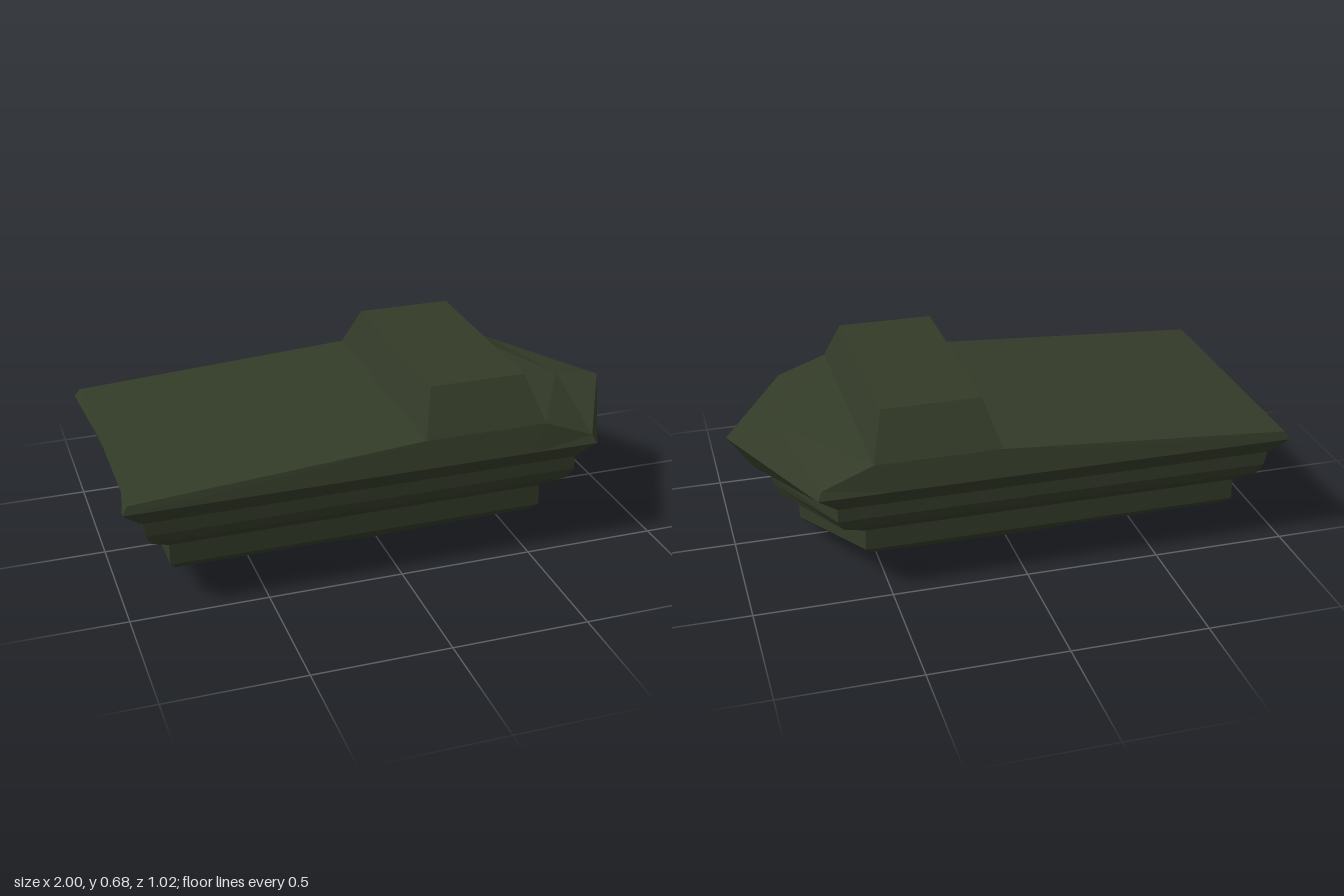
import * as THREE from 'three';

const P = (x, y, z = 0) => [x, y, z];

// Flat-shaded mesh from half-model faces (z >= 0), mirrored to the other side
function halfMesh(name, faces, material) {
  const pos = [];
  const mirror = ([x, y, z]) => [x, y, -z];
  for (const f of faces) {
    for (let i = 1; i < f.length - 1; i++) {
      pos.push(...f[0], ...f[i], ...f[i + 1]);
      pos.push(...mirror(f[0]), ...mirror(f[i + 1]), ...mirror(f[i]));
    }
  }
  const g = new THREE.BufferGeometry();
  g.setAttribute('position', new THREE.Float32BufferAttribute(pos, 3));
  g.computeVertexNormals();
  const m = new THREE.Mesh(g, material);
  m.name = name;
  return m;
}

// Half ring: stern centre, stern corner, two side points, bow corner, bow centre
function ring(sternX, bowX, y, z, sternMidX, sternMidY, tipX, tipY) {
  return [P(sternMidX, sternMidY), P(sternX, y, z), P(0.09, y, z), P(0.5, y, z),
    P(bowX, y, z), P(tipX, tipY)];
}

// Faces joining an upper ring to a lower ring
function band(upper, lower) {
  const faces = [];
  for (let i = 0; i < upper.length - 1; i++) {
    faces.push([lower[i], lower[i + 1], upper[i + 1], upper[i]]);
  }
  return faces;
}

export function createModel() {
  const model = new THREE.Group();
  model.name = 'armouredHull';
  const olive = new THREE.MeshStandardMaterial({ color: 0x333b28 });
  olive.name = 'darkOlive';
  const add = (name, faces) => model.add(halfMesh(name, faces, olive));

  // Hull outlines from the deck edge down to the chine
  const deck = [P(-0.98, 0.45), P(-0.98, 0.45, 0.5), P(0.09, 0.52, 0.487),
    P(0.55, 0.52, 0.487), P(0.735, 0.45, 0.495), P(1, 0.45)];
  const rim = ring(-1, 0.75, 0.42, 0.51, -0.92, 0.315, 0.905, 0.315);
  const upperTop = ring(-0.93, 0.68, 0.36, 0.475, -0.915, 0.275, 0.85, 0.275);
  const upperLow = ring(-0.92, 0.68, 0.31, 0.475, -0.9, 0.235, 0.84, 0.235);
  const ledge = ring(-0.9, 0.66, 0.27, 0.46, -0.875, 0.19, 0.82, 0.19);
  const lowerTop = ring(-0.83, 0.575, 0.225, 0.41, -0.84, 0.15, 0.75, 0.15);
  const lowerLow = ring(-0.83, 0.575, 0.145, 0.41, -0.82, 0.1, 0.75, 0.08);
  const bilge = ring(-0.81, 0.55, 0.12, 0.39, -0.79, 0.09, 0.73, 0.06);
  const chine = [P(-0.7, 0.05), P(-0.7, 0.08, 0.29), P(-0.06, 0.05, 0.29),
    P(0.1, 0.065, 0.29), P(0.48, 0.068, 0.29), P(0.64, 0.04)];

  add('hullRim', band(deck, rim));
  add('rimUnderside', band(rim, upperTop));
  add('upperHull', [...band(upperTop, upperLow), ...band(upperLow, ledge)]);
  add('hullLedge', band(ledge, lowerTop));
  add('lowerHull', band(lowerTop, lowerLow));
  add('bilge', [...band(lowerLow, bilge), ...band(bilge, chine)]);

  // Sloped rear deck and faceted bow deck
  const [sternMid, stern, A, B, bow, tip] = deck;
  const aMid = P(A[0], A[1]), bMid = P(B[0], B[1]), ridge = P(0.82, 0.48);
  add('rearDeck', [[sternMid, stern, A, aMid]]);
  add('bowDeck', [[bMid, B, ridge], [ridge, B, bow], [ridge, bow, tip]]);

  // Raised cabin with sloping walls
  const topA = P(0.14, 0.68, 0.387), topB = P(0.5, 0.68, 0.387);
  const topAMid = P(0.14, 0.68), topBMid = P(0.5, 0.68);
  add('cabin', [
    [topAMid, topA, topB, topBMid],
    [A, B, topB, topA],
    [B, bMid, topBMid, topB],
    [aMid, A, topA, topAMid],
  ]);

  // Bottom: rear keel plate, step, and recess under the bow
  const [cStern, cCorner, cStep, cSide, cBow, cTip] = chine;
  const keel = P(-0.06, 0);
  const rKeel = P(-0.035, 0.055), rStep = P(-0.035, 0.1, 0.27);
  const rBow = P(0.46, 0.1, 0.27), rTip = P(0.6, 0.07);
  add('keelPlate', [[keel, cStep, cCorner, cStern]]);
  add('keelStep', [[keel, rKeel, rStep, cStep]]);
  add('bottomRecess', [
    [cStep, rStep, rBow, cBow, cSide],
    [cBow, rBow, rTip, cTip],
    [rKeel, rTip, rBow, rStep],
  ]);

  return model;
}
